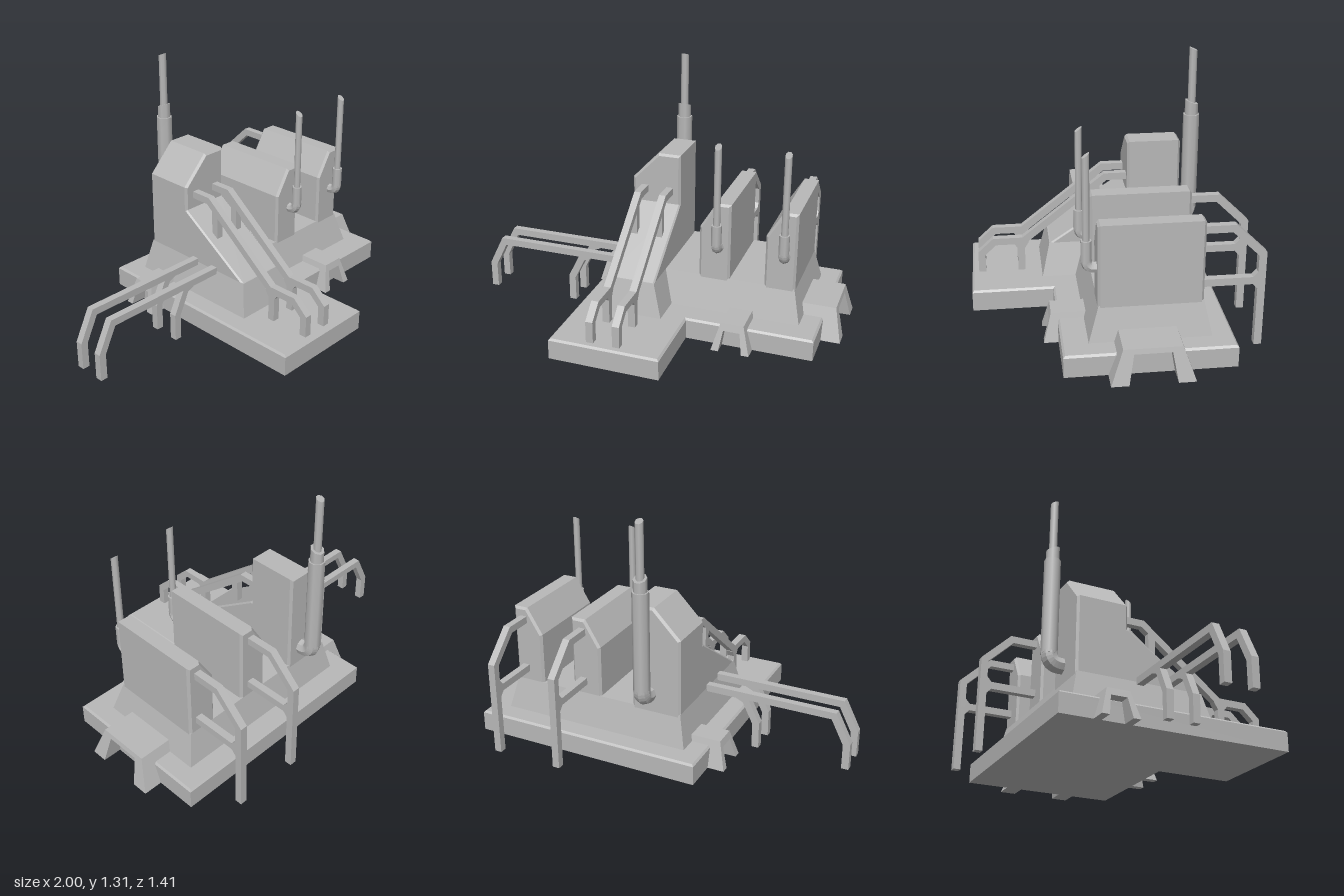
import * as THREE from 'three';

const concrete = new THREE.MeshStandardMaterial({ color: 0xb8b8b8 });

export function createModel() {
  const model = new THREE.Group();
  const add = (name, geometry) => {
    const mesh = new THREE.Mesh(geometry, concrete);
    mesh.name = name;
    model.add(mesh);
    return mesh;
  };
  const shapeOf = (pts) => new THREE.Shape(pts.map(([x, y]) => new THREE.Vector2(x, y)));
  const flat = (g) => {
    const out = g.index ? g.toNonIndexed() : g;
    out.computeVertexNormals();
    return out;
  };
  // Moves each vertex by a rule
  const reshape = (g, rule) => {
    const p = g.attributes.position, v = new THREE.Vector3();
    for (let i = 0; i < p.count; i++) {
      rule(v.fromBufferAttribute(p, i));
      p.setXYZ(i, v.x, v.y, v.z);
    }
    return flat(g);
  };
  // Solid with chamfered edges, running from z0 to z1
  const prism = (pts, z0, z1, bevel = 0.012) => new THREE.ExtrudeGeometry(shapeOf(pts), {
    depth: z1 - z0 - 2 * bevel, bevelEnabled: bevel > 0, bevelSize: bevel,
    bevelThickness: bevel, bevelOffset: -bevel, bevelSegments: 1,
  }).translate(0, 0, z0 + bevel);

  // Foundation slab, chamfered at the top only
  const slab = prism([[-0.35, 0.55], [-0.35, -0.7], [0.235, -0.7], [0.235, -0.28], [0.9, -0.28], [0.9, 0.55]],
    -0.01, 0.113, 0.01).rotateX(-Math.PI / 2);
  add('foundation', reshape(slab, (v) => { v.y = Math.max(0, v.y); }));

  // Flared skirts: [x0, x1, z0, z1] at the bottom and at the top
  const skirt = (name, low, high) => add(name, reshape(new THREE.BoxGeometry(2, 2, 2), (v) => {
    const r = v.y < 0 ? low : high;
    v.set(r[v.x < 0 ? 0 : 1], v.y < 0 ? 0.1 : 0.285, r[v.z < 0 ? 2 : 3]);
  }));
  skirt('hallSkirt', [0, 0.8, -0.445, 0.155], [0, 0.755, -0.405, 0.1]);
  skirt('towerSkirt', [-0.25, 0.115, -0.445, 0.33], [-0.21, 0.06, -0.405, 0.285]);

  // Two sawtooth roof blocks
  for (const [x0, x1] of [[0.245, 0.41], [0.595, 0.757]]) {
    add('roofBlock', prism([[x0, 0.2], [x1, 0.2], [x1, 0.7], [x0 + 0.085, 0.7], [x0, 0.56]], -0.405, 0.103));
  }

  // Tower and the sloping front in line with it
  add('tower', prism([[-0.21, 0.2], [0.06, 0.2], [0.06, 0.84], [-0.065, 0.84], [-0.21, 0.69]], -0.408, -0.13));
  add('towerSlope', prism([[-0.25, 0.25], [0.285, 0.25], [0.285, 0.28], [-0.13, 0.56], [-0.25, 0.56]],
    -0.06, 0.21, 0.008).rotateY(-Math.PI / 2));

  // Square beam along a mitred 2D path; side view paths run in (z, y)
  const beamOutline = (path, w) => {
    const left = [], right = [];
    const dir = (a, b) => new THREE.Vector2(b[0] - a[0], b[1] - a[1]).normalize();
    path.forEach((p, i) => {
      const a = i > 0 ? dir(path[i - 1], p) : dir(p, path[1]);
      const b = i < path.length - 1 ? dir(p, path[i + 1]) : a;
      const n = new THREE.Vector2(-a.y - b.y, a.x + b.x).normalize();
      const k = w / 2 / (n.x * -a.y + n.y * a.x);
      left.push([p[0] + n.x * k, p[1] + n.y * k]);
      right.unshift([p[0] - n.x * k, p[1] - n.y * k]);
    });
    return [...left, ...right];
  };
  const W = 0.038;
  const sidePlate = (name, pts, x) => add(name,
    prism(pts, -W / 2, W / 2, 0).rotateY(-Math.PI / 2).translate(x, 0, 0));
  const sideBeam = (name, path, x) => sidePlate(name, beamOutline(path, W), x);
  const frontBeam = (name, path, z) => add(name,
    prism(beamOutline(path, W), z - W / 2, z + W / 2, 0));

  // Pipes down the sloping front
  for (const x of [-0.14, 0]) {
    sideBeam('slopePipe', [[-0.16, 0.635], [-0.02, 0.635], [0.42, 0.285], [0.575, 0.285], [0.645, 0.22], [0.645, 0.1]], x);
    sideBeam('slopePipeLeg', [[0.433, 0.285], [0.433, 0.1]], x);
    sidePlate('slopePipeGusset', [[0.39, 0.28], [0.48, 0.28], [0.45, 0.24], [0.415, 0.24]], x);
    sideBeam('slopePipeStrut', [[0.03, 0.59], [0.03, 0.43]], x);
  }

  // Long pipes leaving the tower sideways
  for (const z of [-0.065, 0.075]) {
    frontBeam('longPipe', [[-0.15, 0.287], [-0.907, 0.287], [-0.981, 0.14], [-0.981, 0]], z);
    frontBeam('longPipeLeg', [[-0.38, 0.287], [-0.43, 0.265], [-0.492, 0.14], [-0.492, 0]], z);
  }

  // Pipes at the back of the roof blocks
  for (const x of [0.345, 0.7]) {
    sideBeam('backPipe', [[-0.35, 0.635], [-0.547, 0.635], [-0.69, 0.495], [-0.69, 0]], x);
    sideBeam('backPipeBar', [[-0.35, 0.355], [-0.69, 0.355]], x);
    sidePlate('backPipeGusset', [[-0.63, 0.355], [-0.68, 0.41], [-0.68, 0.3]], x);
  }

  // Octagonal chimney parts; slant tilts the top cut along z
  const pole = (name, r, x, z, y0, y1, slant = 0) => {
    const g = new THREE.CylinderGeometry(r, r, y1 - y0, 8).rotateY(Math.PI / 8);
    reshape(g, (v) => { if (v.y > 0) v.y += slant * v.z; });
    add(name, g.translate(x, (y0 + y1) / 2, z));
  };
  const elbow = (name, r, x, z, zWall, yLow, bend) => {
    const s = Math.sign(zWall - z);
    const P = (yy, zz) => new THREE.Vector3(x, yy, zz);
    const path = new THREE.CurvePath();
    path.add(new THREE.QuadraticBezierCurve3(P(yLow + bend, z), P(yLow, z), P(yLow, z + s * bend)));
    path.add(new THREE.LineCurve3(P(yLow, z + s * bend), P(yLow, zWall)));
    add(name, flat(new THREE.TubeGeometry(path, 10, r, 8)));
  };

  for (const x of [0.35, 0.7]) {
    elbow('smallChimneyElbow', 0.027, x, 0.152, 0.08, 0.465, 0.04);
    pole('smallChimneyBase', 0.027, x, 0.152, 0.5, 0.605);
    pole('smallChimney', 0.018, x, 0.152, 0.59, 1.025, -0.75);
  }
  elbow('tallChimneyElbow', 0.043, -0.035, -0.48, -0.39, 0.37, 0.06);
  pole('tallChimneyBase', 0.043, -0.035, -0.48, 0.42, 0.95);
  pole('tallChimneyCollar', 0.035, -0.035, -0.48, 0.93, 1.017, 0.4);
  pole('tallChimney', 0.021, -0.035, -0.48, 1, 1.3, 0.45);

  // Arched gates with splayed sides and a leaning face
  const gate = (name, d, angle, x, z) => {
    const pts = [[-d.foot, 0], [-d.inFoot, 0], [-d.inTop, d.inH], [d.inTop, d.inH],
      [d.inFoot, 0], [d.foot, 0], [d.top, d.h], [-d.top, d.h]];
    const g = reshape(prism(pts, 0, d.depth, 0), (v) => {
      if (v.z > 0.01) v.z += d.lean * (1 - v.y / d.h);
    });
    add(name, g.rotateY(angle).translate(x, 0, z));
  };
  const small = { foot: 0.1, top: 0.06, h: 0.145, inFoot: 0.06, inTop: 0.043, inH: 0.107, depth: 0.2, lean: 0.038 };
  const large = { foot: 0.2, top: 0.14, h: 0.17, inFoot: 0.115, inTop: 0.09, inH: 0.145, depth: 0.22, lean: 0.04 };
  gate('frontGate', small, 0, 0.49, 0.113);
  gate('rightGate', small, -Math.PI / 2, -0.2, -0.275);
  gate('leftGate', large, Math.PI / 2, 0.74, -0.13);

  return model;
}
